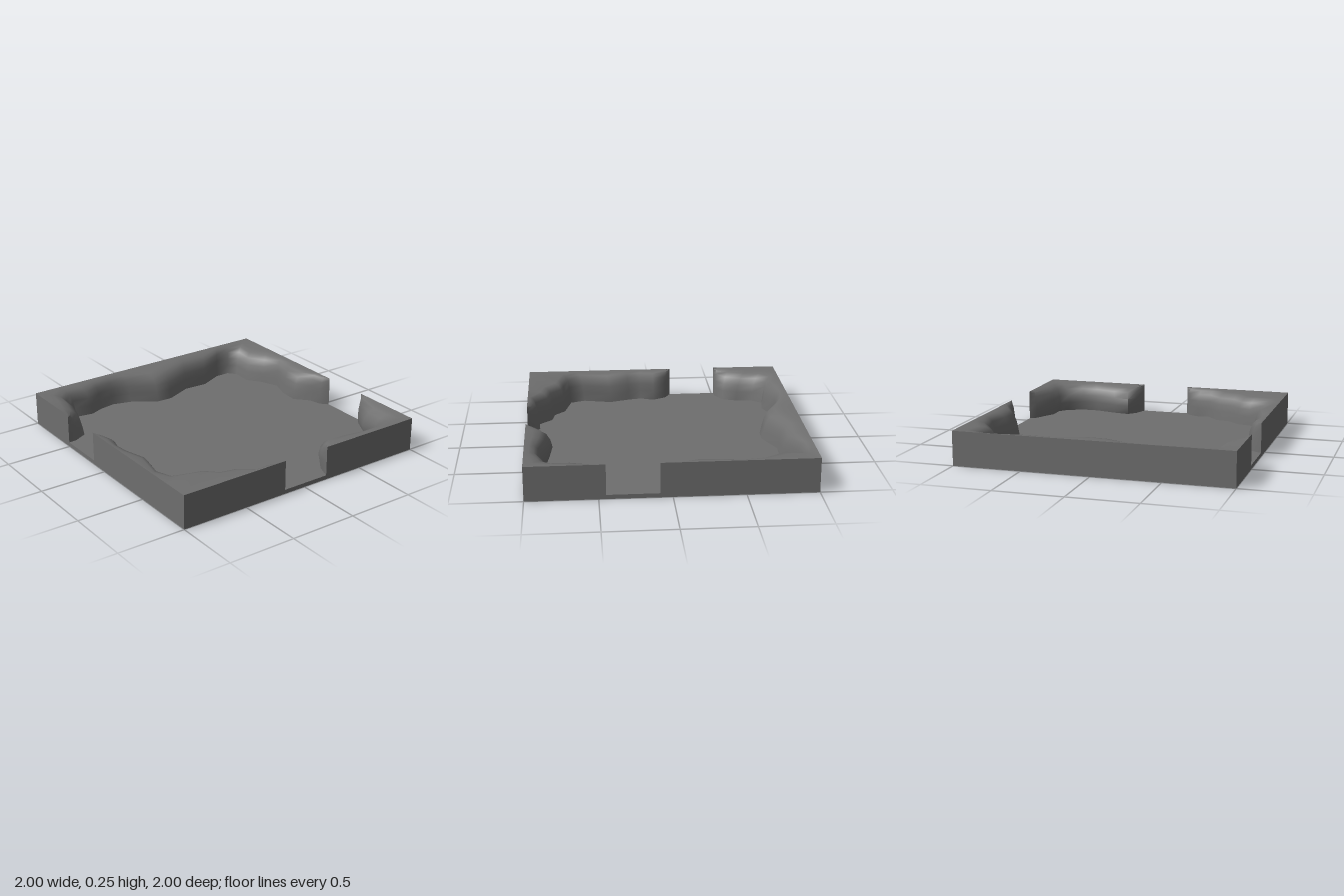
import * as THREE from 'three';
import { toCreasedNormals } from 'three/addons/utils/BufferGeometryUtils.js';

const FLOOR = 0.03, TOP = 0.25;

// Where a wall-foot point meets the outer square, seen from the centre
function toOuter([x, z]) {
  const ax = Math.abs(x), az = Math.abs(z);
  if (ax < 0.99 && az < 0.99 && Math.abs(ax - az) < 0.065) return [Math.sign(x), Math.sign(z)];
  const m = Math.max(ax, az);
  return [x / m, z / m];
}

// Rocky wall: foot (set back by undercut), low lip, rounded top, straight outer face
function rockWall(line, softness, lipSlope, undercut) {
  // [distance outward from the line, height]
  const profile = [
    [undercut, FLOOR], [lipSlope, 0.1], [lipSlope + 0.015, 0.155],
    [lipSlope + 0.045, 0.205], [lipSlope + 0.09, 0.235], [lipSlope + 0.15, 0.246],
  ];
  const rows = profile.length + 2;
  const pos = [], index = [];
  for (const p of line) {
    const o = toOuter(p);
    const d = Math.hypot(o[0] - p[0], o[1] - p[1]);
    const reach = Math.min(softness, 0.8 * d / 0.17); // thins out at the openings
    for (const [off, y] of profile) {
      const t = d > 1e-6 ? off * reach / d : 0;
      pos.push(p[0] + (o[0] - p[0]) * t, y, p[1] + (o[1] - p[1]) * t);
    }
    pos.push(o[0], TOP, o[1], o[0], FLOOR, o[1]);
  }
  for (let i = 0; i < line.length - 1; i++) {
    for (let k = 0; k < rows - 1; k++) {
      const a = i * rows + k, b = a + rows;
      index.push(a, b, b + 1, a, b + 1, a + 1);
    }
  }
  const g = new THREE.BufferGeometry();
  g.setAttribute('position', new THREE.Float32BufferAttribute(pos, 3));
  g.setIndex(index);
  return toCreasedNormals(g, 1.0);
}

export function createModel() {
  const group = new THREE.Group();
  group.name = 'caveRoomTile';
  const material = new THREE.MeshStandardMaterial({ color: 0x6f6f6f });
  const add = (name, geometry) => {
    const mesh = new THREE.Mesh(geometry, material);
    mesh.name = name;
    group.add(mesh);
    return mesh;
  };

  // Floor slab, open to the edge at the three passages
  add('floor', new THREE.BoxGeometry(2, FLOOR, 2)).position.y = FLOOR / 2;

  // Long wall from the front passage round the closed side to the back passage
  add('longWall', rockWall([
    [-0.505, 1], [-0.51, 0.94], [-0.56, 0.84], [-0.67, 0.8], [-0.79, 0.79], [-0.87, 0.73],
    [-0.85, 0.6], [-0.89, 0.5], [-0.91, 0.38], [-0.87, 0.24], [-0.75, 0.06], [-0.745, -0.06],
    [-0.83, -0.26], [-0.82, -0.44], [-0.9, -0.62], [-0.9, -0.73], [-0.84, -0.78], [-0.69, -0.77],
    [-0.58, -0.85], [-0.45, -0.9], [-0.3, -0.85], [-0.16, -0.84], [-0.06, -0.93], [0.03, -0.95], [0.085, -1],
  ], 1, 0.015, 0));

  // Back corner wall between the back and side passages
  add('backCornerWall', rockWall([
    [0.45, -1], [0.48, -0.95], [0.64, -0.85], [0.76, -0.85], [0.82, -0.79], [0.88, -0.68],
    [0.88, -0.56], [0.83, -0.4], [0.81, -0.28], [0.88, -0.23], [1, -0.195],
  ], 1.2, 0, 0.025));

  // Front corner wall between the side and front passages
  add('frontCornerWall', rockWall([
    [1, 0.17], [0.95, 0.2], [0.91, 0.28], [0.92, 0.37], [0.82, 0.46], [0.8, 0.57], [0.72, 0.65],
    [0.7, 0.73], [0.67, 0.85], [0.56, 0.89], [0.35, 0.84], [0.2, 0.89], [0.1, 0.91], [0, 0.87],
    [-0.1, 0.92], [-0.145, 1],
  ], 0.6, 0.015, 0));

  return group;
}
